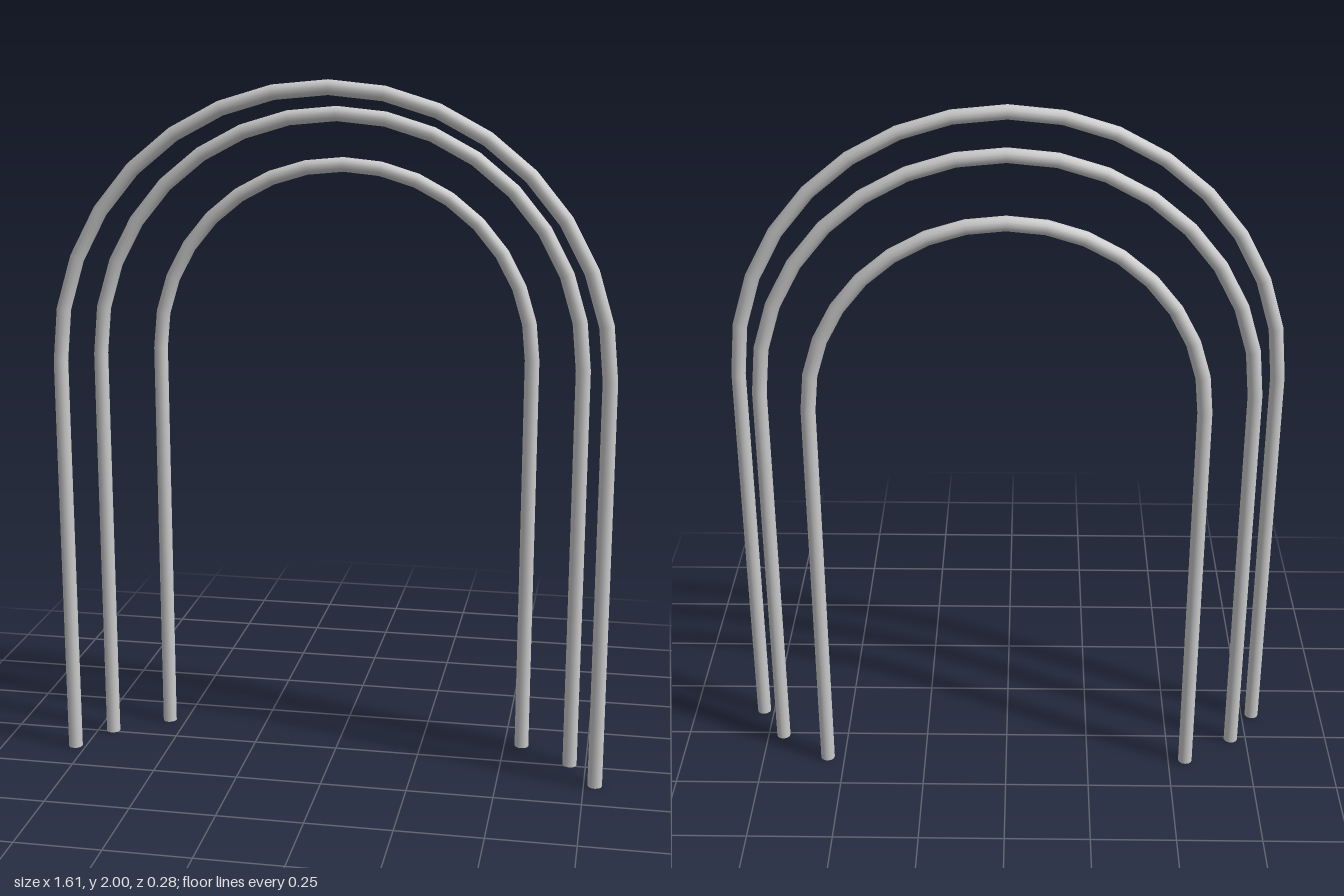
import * as THREE from 'three';

const TUBE = 0.021, SPRING = 1.195, ARC_STEPS = 16, SIDES = 12;

// Path of one hoop: straight leg, half circle in even steps, straight leg
class HoopCurve extends THREE.Curve {
  constructor(radius) {
    super();
    this.radius = radius;
  }
  getPoint(t, target = new THREE.Vector3()) {
    const step = t * (ARC_STEPS + 2) - 1;
    const a = Math.PI * (1 - THREE.MathUtils.clamp(step / ARC_STEPS, 0, 1));
    let y = SPRING + this.radius * Math.sin(a);
    if (step < 0) y = SPRING * (1 + step);
    if (step > ARC_STEPS) y = SPRING * (1 - (step - ARC_STEPS));
    return target.set(this.radius * Math.cos(a), y, 0);
  }
  // Sample by step so that each ring falls on a bend
  getPointAt(t, target) {
    return this.getPoint(t, target);
  }
  getTangentAt(t, target = new THREE.Vector3()) {
    const step = t * (ARC_STEPS + 2) - 1;
    const a = Math.PI * (1 - THREE.MathUtils.clamp(step / ARC_STEPS, 0, 1));
    return target.set(Math.sin(a), -Math.cos(a), 0);
  }
}

export function createModel() {
  const model = new THREE.Group();
  model.name = 'nestedHoops';
  const material = new THREE.MeshStandardMaterial({ color: 0xcccccc });

  const hoops = [
    ['frontHoop', 0.782, 0.12],
    ['middleHoop', 0.703, -0.01],
    ['backHoop', 0.552, -0.12],
  ];
  for (const [name, radius, z] of hoops) {
    const hoop = new THREE.Group();
    hoop.name = name;
    hoop.position.z = z;

    const tube = new THREE.Mesh(
      new THREE.TubeGeometry(new HoopCurve(radius), ARC_STEPS + 2, TUBE, SIDES, false), material);
    tube.name = 'bentTube';
    hoop.add(tube);

    // Flat ends of the legs
    for (const side of [-1, 1]) {
      const cap = new THREE.Mesh(new THREE.CircleGeometry(TUBE, SIDES), material);
      cap.name = side > 0 ? 'leftFootCap' : 'rightFootCap';
      cap.rotation.x = Math.PI / 2;
      cap.position.x = side * radius;
      hoop.add(cap);
    }
    model.add(hoop);
  }
  return model;
}
